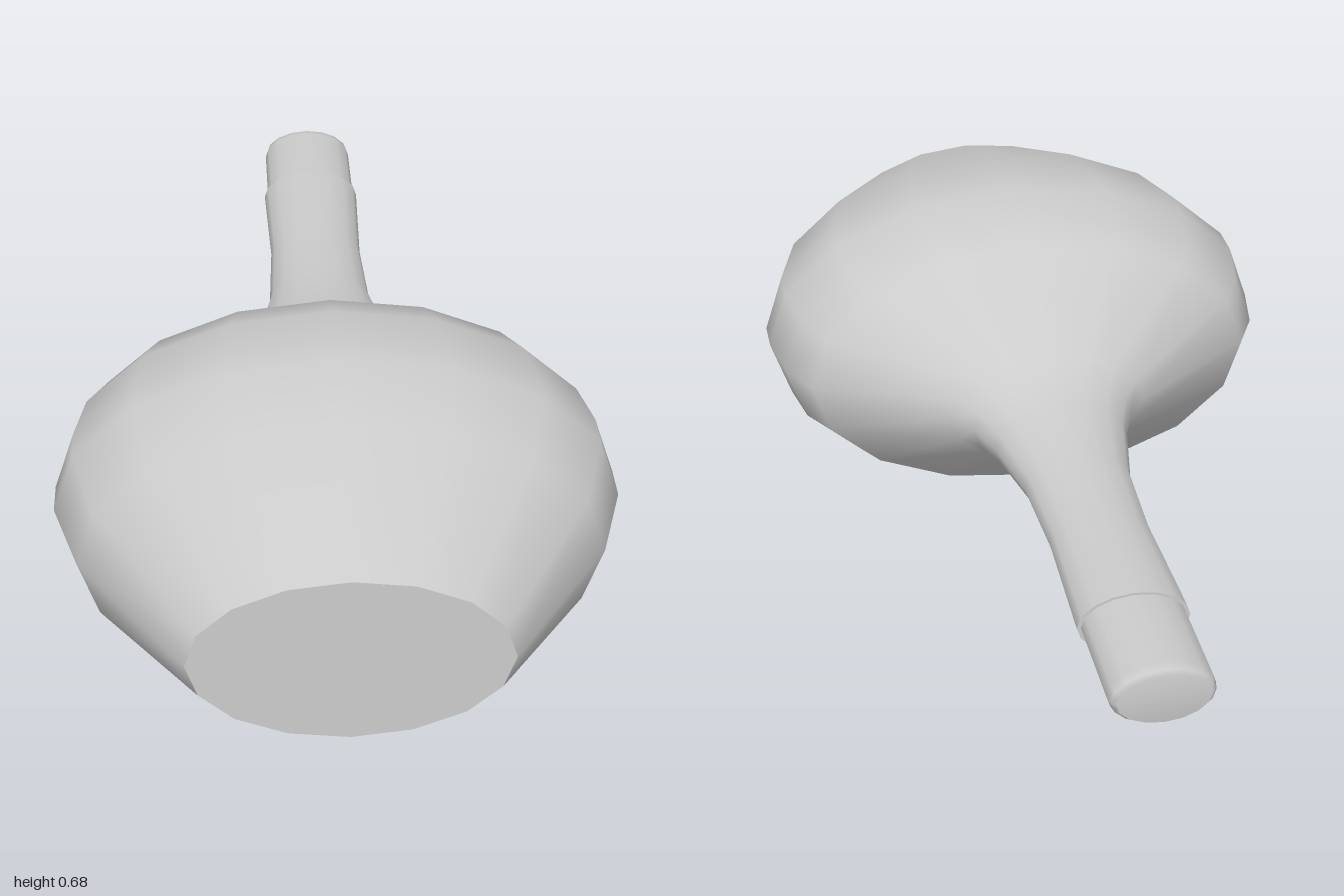
import * as THREE from 'three';

const SIDES = 16;
const FLATTEN = 0.6;
const CENTRE_Y = 0.34;

// Turns [radius, z] points, ordered front to back, into a flattened solid lying along z
function turned(name, points, material) {
  const profile = points.map(([r, z]) => new THREE.Vector2(r, -z));
  const geometry = new THREE.LatheGeometry(profile, SIDES);
  geometry.rotateX(-Math.PI / 2);
  geometry.scale(1, FLATTEN, 1);
  const mesh = new THREE.Mesh(geometry, material);
  mesh.name = name;
  mesh.position.y = CENTRE_Y;
  return mesh;
}

export function createModel() {
  const group = new THREE.Group();
  group.name = 'flask';
  const material = new THREE.MeshStandardMaterial({ color: 0xcccccc });

  // Flat bottom of the flask, kept apart for a sharp rim
  group.add(turned('base', [[0, 1], [0.305, 1]], material));

  // Bulb, shoulder and slender neck
  group.add(turned('body', [
    [0.305, 1], [0.512, 0.69], [0.565, 0.51], [0.565, 0.43],
    [0.542, 0.31], [0.495, 0.22], [0.215, 0.025], [0.175, -0.03],
    [0.145, -0.11], [0.113, -0.27], [0.104, -0.48], [0.112, -0.76],
  ], material));

  // Mouth of the neck, closing against the stopper
  group.add(turned('lip', [[0.112, -0.76], [0.09, -0.76]], material));

  // Stopper with a softened end
  group.add(turned('stopper', [
    [0.104, -0.74], [0.104, -0.97], [0.1, -0.99], [0.09, -1], [0, -1],
  ], material));

  return group;
}
